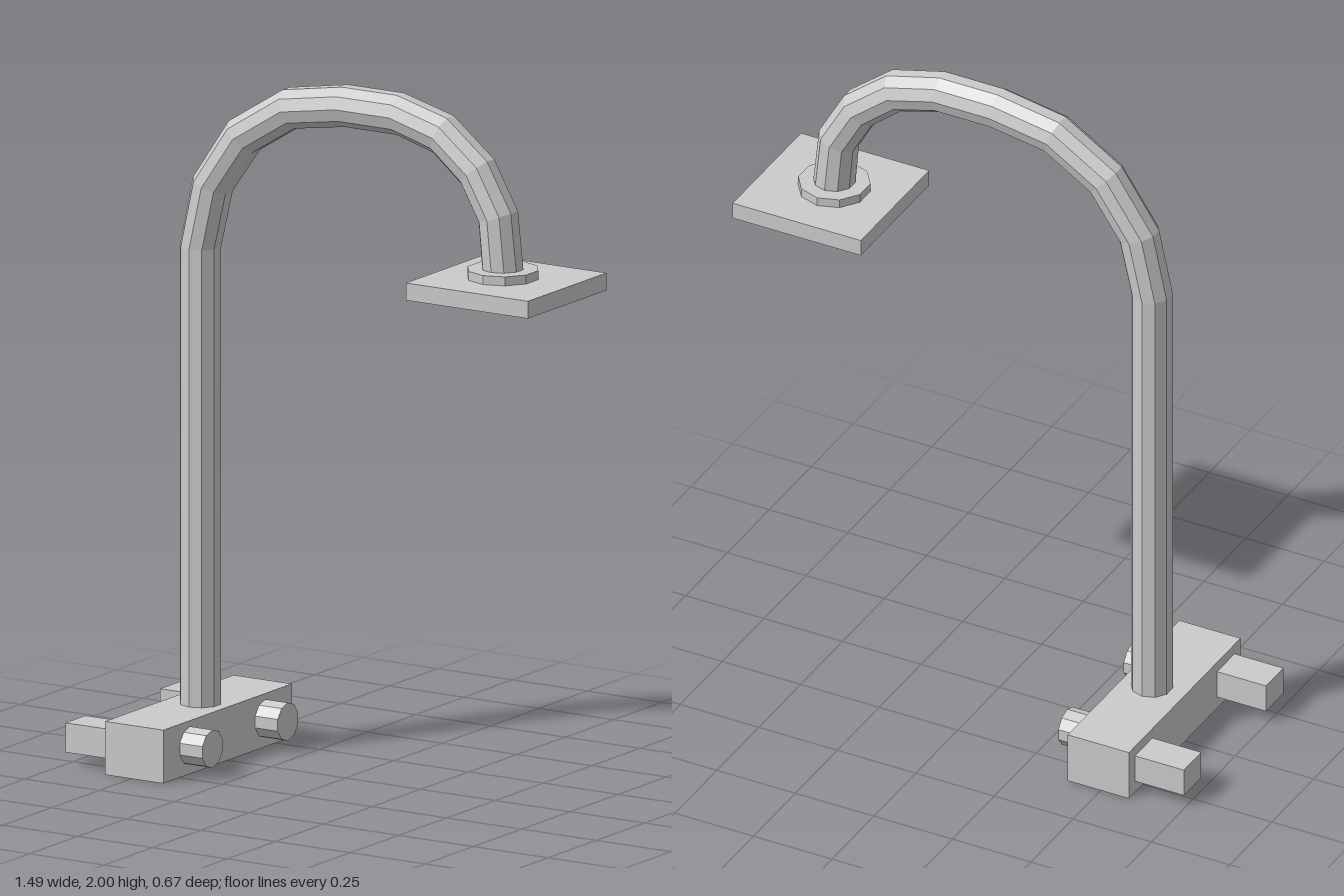
import * as THREE from 'three';

const material = new THREE.MeshStandardMaterial({ color: 0xcccccc, flatShading: true });
const SIDES = 10;

function add(group, name, geometry, x, y, z) {
  const mesh = new THREE.Mesh(geometry, material);
  mesh.name = name;
  mesh.position.set(x, y, z);
  group.add(mesh);
  return mesh;
}

// Ten-sided pipe through rings given as [x, y, angle of the outer side in degrees]
function pipeGeometry(rings, radius) {
  const positions = [];
  const indices = [];
  rings.forEach(([x, y, degrees], i) => {
    const a = THREE.MathUtils.degToRad(degrees);
    for (let k = 0; k < SIDES; k++) {
      const t = Math.PI / 2 + (k / SIDES) * Math.PI * 2;
      const out = radius * Math.cos(t);
      positions.push(x + out * Math.cos(a), y + out * Math.sin(a), radius * Math.sin(t));
      if (i === rings.length - 1) continue;
      const p = i * SIDES + k;
      const q = i * SIDES + ((k + 1) % SIDES);
      indices.push(p, q, q + SIDES, p, q + SIDES, p + SIDES);
    }
  });
  const geometry = new THREE.BufferGeometry();
  geometry.setAttribute('position', new THREE.Float32BufferAttribute(positions, 3));
  geometry.setIndex(indices);
  geometry.computeVertexNormals();
  return geometry;
}

export function createModel() {
  const group = new THREE.Group();
  group.name = 'showerColumn';

  // Mixer block at the foot
  add(group, 'mixerBody', new THREE.BoxGeometry(0.195, 0.154, 0.666), -0.492, 0.077, 0);

  // Wall inlets behind and control knobs in front, mirrored in z
  for (const side of [1, -1]) {
    const label = side > 0 ? 'front' : 'back';
    add(group, label + 'Inlet', new THREE.BoxGeometry(0.158, 0.085, 0.104), -0.666, 0.08, side * 0.245);
    const knob = new THREE.CylinderGeometry(0.055, 0.055, 0.078, SIDES, 1, false, Math.PI / 2);
    knob.rotateZ(Math.PI / 2);
    add(group, label + 'Knob', knob, -0.358, 0.082, side * 0.195);
  }

  // Riser and curved arm in one pipe
  const rings = [
    [-0.485, 0.15, 180], [-0.485, 1.475, 180], [-0.444, 1.658, 162], [-0.339, 1.812, 135],
    [-0.18, 1.912, 110], [0.003, 1.942, 95], [0.183, 1.942, 90], [0.328, 1.902, 67],
    [0.442, 1.809, 41], [0.511, 1.687, 20], [0.528, 1.515, 2],
  ];
  add(group, 'pipe', pipeGeometry(rings, 0.06), 0, 0, 0);

  // Shower head plate and its collar
  add(group, 'headCollar', new THREE.CylinderGeometry(0.103, 0.103, 0.028, SIDES), 0.526, 1.526, 0);
  add(group, 'showerHead', new THREE.BoxGeometry(0.408, 0.05, 0.408), 0.537, 1.489, 0);

  return group;
}
